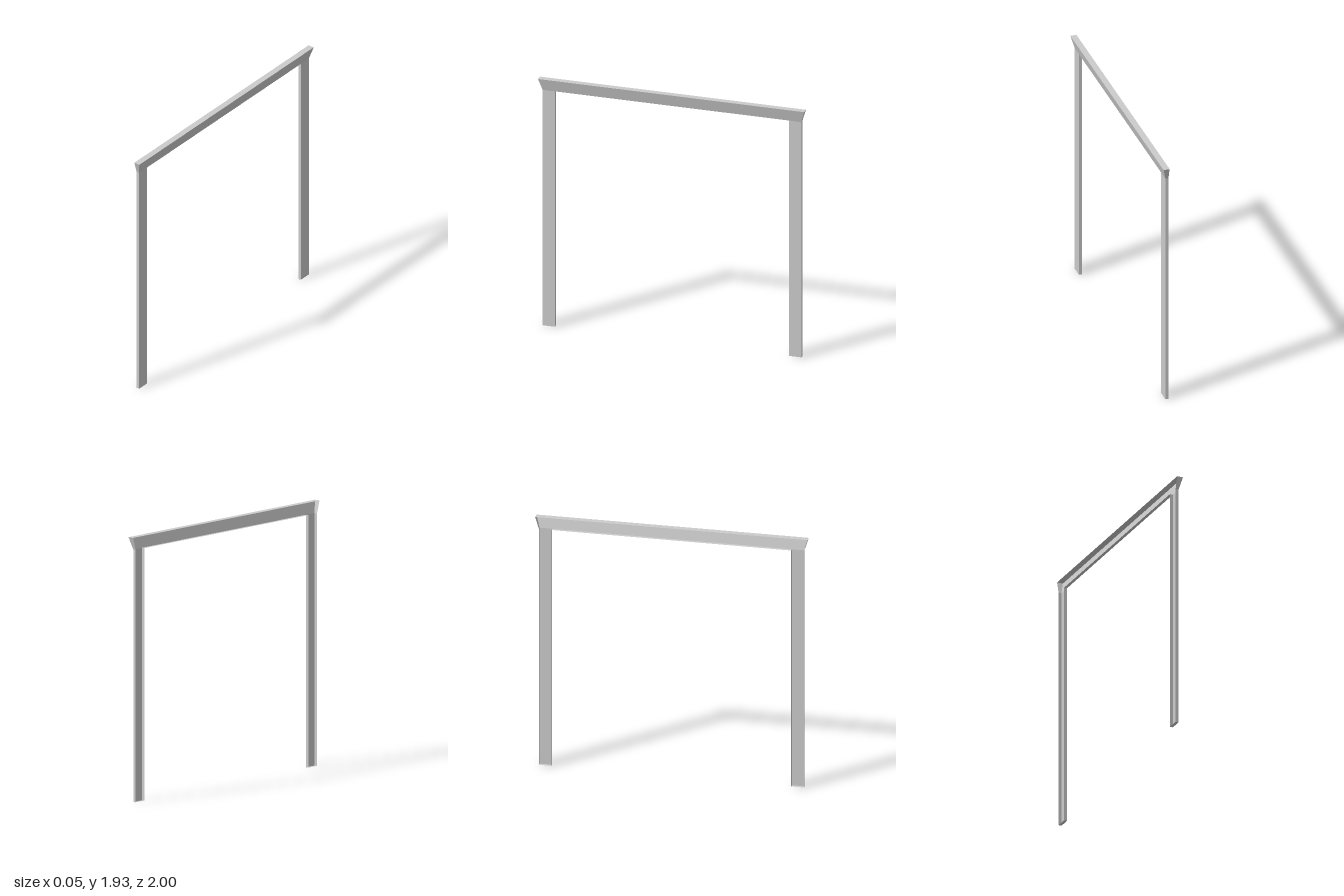
import * as THREE from 'three';

const BACK = -0.023, FACE = 0, CROWN = 0.023; // depths along x
const HEAD = 1.842, TOP = 1.933;              // underside and top of the lintel

// Outline seen from +x, counter-clockwise: [z, y, depth of the face]
const half = [[0.973, 0, FACE], [0.88, 0, FACE], [0.88, HEAD, FACE]];
const flare = [[1, TOP, CROWN], [0.973, HEAD, FACE]];
const mirror = (list) => list.map(([z, y, x]) => [-z, y, x]).reverse();
const outline = [...half, ...mirror(half), ...mirror(flare), ...flare];

const front = ([z, y, x]) => [x, y, z];
const back = ([z, y]) => [BACK, y, z];

// Flat-shaded mesh from four-cornered faces
function panel(name, quads, material) {
  const points = quads.flatMap(([a, b, c, d]) => [a, b, c, a, c, d]).flat();
  const geometry = new THREE.BufferGeometry();
  geometry.setAttribute('position', new THREE.Float32BufferAttribute(points, 3));
  geometry.computeVertexNormals();
  const mesh = new THREE.Mesh(geometry, material);
  mesh.name = name;
  return mesh;
}

export function createModel() {
  const group = new THREE.Group();
  group.name = 'doorCasing';
  const material = new THREE.MeshStandardMaterial({
    color: 0xcccccc, flatShading: true, side: THREE.DoubleSide,
  });
  const face = (...ids) => [ids.map((i) => front(outline[i]))];

  // Front boards: two uprights and the forward-leaning lintel
  group.add(panel('leftUpright', face(0, 1, 2, 9), material));
  group.add(panel('rightUpright', face(3, 4, 5, 6), material));
  group.add(panel('lintel', face(9, 6, 7, 8), material));

  // Edge strips around the whole outline; the back stays open
  const strips = outline.map((a, i) => {
    const b = outline[(i + 1) % outline.length];
    return [front(a), back(a), back(b), front(b)];
  });
  group.add(panel('edgeStrips', strips, material));
  return group;
}
